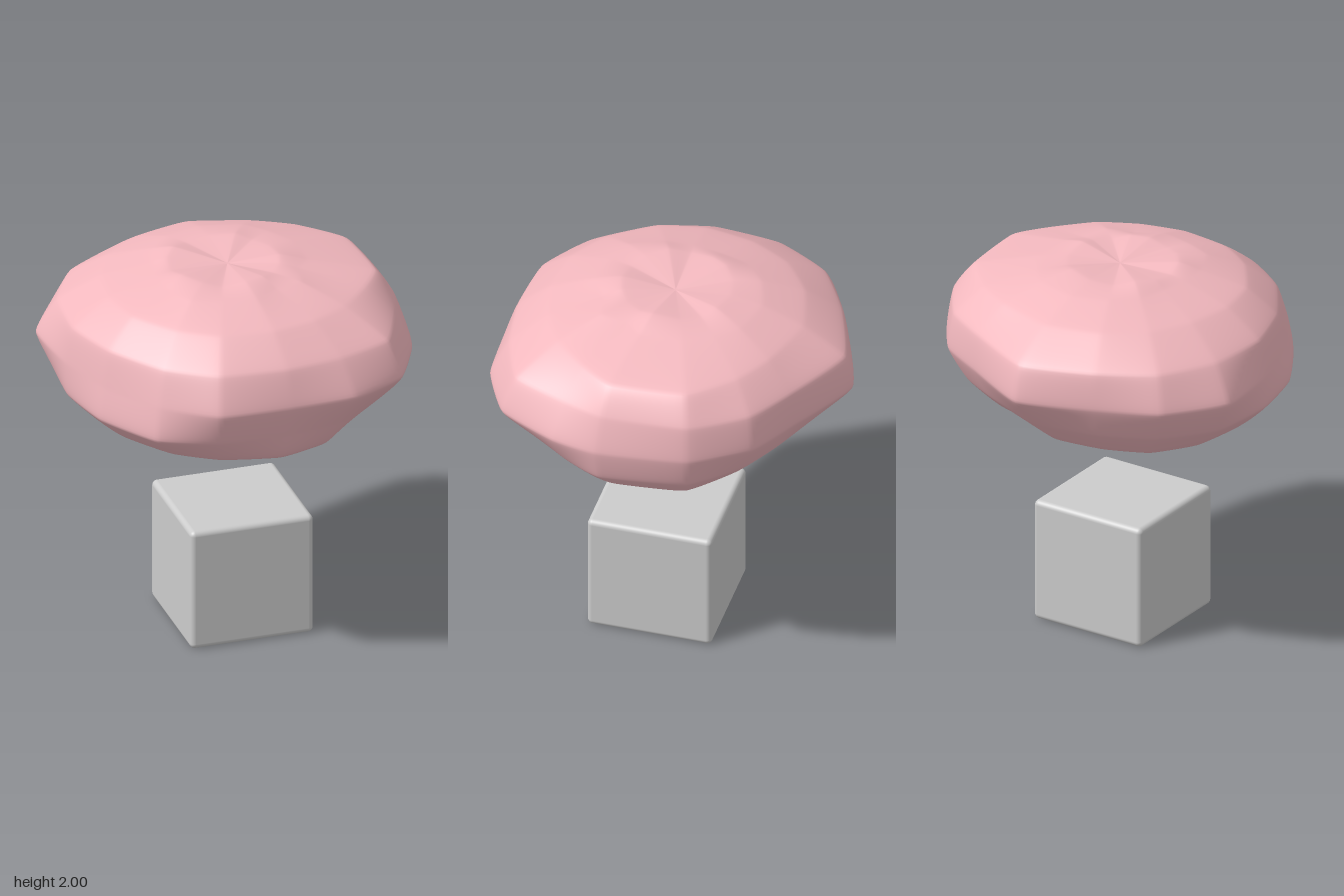
import * as THREE from 'three';
import { mergeVertices } from 'three/addons/utils/BufferGeometryUtils.js';
import { RoundedBoxGeometry } from 'three/addons/geometries/RoundedBoxGeometry.js';

// Directions of the lump's sixteen corners, in degrees from +x towards +z
const ANGLES = [0, 15, 35, 54, 75, 99, 120, 145, 168, 192, 214, 236, 262, 290, 309, 331];

// Cross-sections from bottom to top: height, then the radius at each corner
const RINGS = [
  [1.09, [.36, .34, .36, .36, .36, .34, .32, .28, .29, .21, .29, .21, .29, .26, .32, .36]],
  [1.21, [.71, .68, .67, .73, .74, .71, .69, .67, .66, .66, .65, .60, .58, .54, .62, .70]],
  [1.37, [.89, .86, .85, .85, .82, .85, .89, .85, .84, .86, .83, .78, .77, .74, .79, .86]],
  [1.55, [.93, .96, 1.01, .96, .88, .91, .87, .83, .85, .95, .93, .87, .93, .84, .89, .91]],
  [1.74, [.87, .87, .93, .86, .82, .83, .81, .79, .81, .84, .86, .84, .89, .82, .86, .88]],
  [1.88, [.77, .72, .69, .66, .65, .65, .64, .63, .62, .62, .64, .65, .67, .67, .71, .77]],
  [1.96, [.43, .39, .44, .39, .43, .42, .44, .40, .37, .37, .41, .43, .45, .46, .44, .44]],
];

// Low-tension curve, nearly straight between corners
const facetCurve = (points, closed) => new THREE.CatmullRomCurve3(points, closed, 'catmullrom', 0.22);

function lumpGeometry(rows = 90, cols = 160) {
  // One meridian per corner, running from pole to pole
  const meridians = ANGLES.map((deg, j) => {
    const a = THREE.MathUtils.degToRad(deg);
    const at = (r, y) => new THREE.Vector3(r * Math.cos(a), y, r * Math.sin(a));
    return facetCurve([
      new THREE.Vector3(0.03, 1.05, 0.04),
      ...RINGS.map(([y, radii]) => at(radii[j], y)),
      at(0.28, 1.987 + 0.012 * Math.cos(5 * a + 0.6)), // puckered crown
      new THREE.Vector3(0.02, 1.965, 0),
    ], false);
  });

  // Closed loops through the meridians
  const positions = [], index = [];
  for (let i = 0; i <= rows; i++) {
    const loop = facetCurve(meridians.map((m) => m.getPoint(i / rows)), true);
    for (let k = 0; k < cols; k++) {
      positions.push(...loop.getPoint(k / cols).toArray());
      if (i === rows) continue;
      const a = i * cols + k, b = i * cols + (k + 1) % cols;
      if (i < rows - 1) index.push(a, a + cols, b + cols);
      else index.push(a, a + cols, b);
      if (i > 0 && i < rows - 1) index.push(a, b + cols, b);
    }
  }
  let geometry = new THREE.BufferGeometry();
  geometry.setAttribute('position', new THREE.Float32BufferAttribute(positions, 3));
  geometry.setIndex(index);
  geometry = mergeVertices(geometry); // joins the poles
  geometry.computeVertexNormals();
  return geometry;
}

export function createModel() {
  const group = new THREE.Group();

  // Floating flattened lump
  const lump = new THREE.Mesh(lumpGeometry(), new THREE.MeshStandardMaterial({ color: 0xf2b8be }));
  lump.name = 'lump';
  group.add(lump);

  // Rounded white cube below, turned slightly
  const cube = new THREE.Mesh(
    new RoundedBoxGeometry(0.654, 0.66, 0.654, 5, 0.028),
    new THREE.MeshStandardMaterial({ color: 0xf8f8f8 }),
  );
  cube.name = 'cube';
  cube.position.set(0.04, 0.332, 0.04);
  cube.rotation.y = THREE.MathUtils.degToRad(10);
  group.add(cube);

  return group;
}
